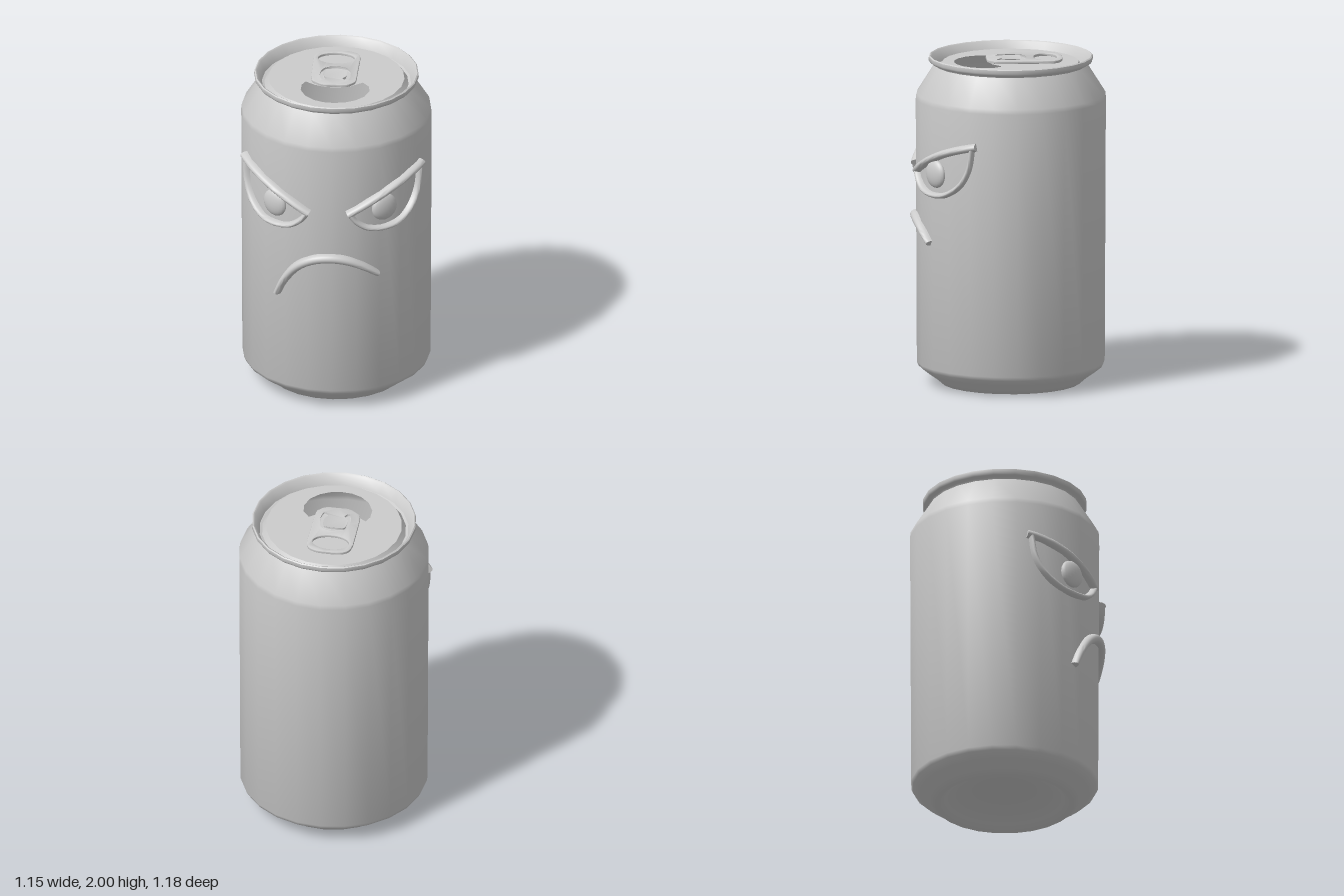
import * as THREE from 'three';
import { toCreasedNormals } from 'three/addons/utils/BufferGeometryUtils.js';

const R = 0.57, ZC = -0.017, SIDES = 24, TURN = 0.035, LID_Y = 1.96, LID_R = 0.41;
const material = new THREE.MeshStandardMaterial({ color: 0xcccccc, side: THREE.DoubleSide });

function add(parent, name, geometry) {
  const mesh = new THREE.Mesh(geometry, material);
  mesh.name = name;
  parent.add(mesh);
  return mesh;
}

const vec2 = (list) => list.map(([x, y]) => new THREE.Vector2(x, y));
// Plan outlines are given as (x, z); laid flat later by a quarter turn about x
const plan = (list) => list.map(([x, z]) => new THREE.Vector2(x, -z));
const smoothLoop = (list, n = 40) => new THREE.SplineCurve(plan([...list, list[0]])).getPoints(n);

// Raised half-round strip following (x, y) points around the can wall, with flat ends
function strip(points, width, height, steps = 24, taper = 0) {
  const curve = new THREE.SplineCurve(vec2(points));
  const path = (t) => {
    const p = curve.getPoint(t);
    return new THREE.Vector3(p.x, p.y, Math.sqrt(R * R - p.x * p.x));
  };
  const seg = 10, pos = [], index = [];
  for (let i = 0; i <= steps; i++) {
    const t = i / steps, p = path(t);
    const tangent = path(Math.min(1, t + 0.01)).sub(path(Math.max(0, t - 0.01))).normalize();
    const out = new THREE.Vector3(p.x, 0, p.z).normalize();
    const across = new THREE.Vector3().crossVectors(out, tangent).normalize();
    const w = width * (1 - taper * Math.abs(2 * t - 1) ** 2) / 2;
    for (let j = 0; j <= seg; j++) {
      const a = Math.PI * j / seg;
      const v = p.clone().addScaledVector(across, Math.cos(a) * w)
        .addScaledVector(out, -0.02 + Math.sin(a) ** 0.7 * (height + 0.02));
      pos.push(v.x, v.y, v.z + ZC);
    }
  }
  const row = seg + 1;
  for (let i = 0; i < steps; i++) {
    for (let j = 0; j < seg; j++) {
      const a = i * row + j, b = a + row;
      index.push(a, b, a + 1, b, b + 1, a + 1);
    }
  }
  const last = steps * row;
  for (let j = 1; j < seg; j++) {
    index.push(0, j, j + 1, last, last + j + 1, last + j);
  }
  const geometry = new THREE.BufferGeometry();
  geometry.setAttribute('position', new THREE.Float32BufferAttribute(pos, 3));
  geometry.setIndex(index);
  return toCreasedNormals(geometry, 0.9);
}

function createCan(group) {
  // Domed base, body, shoulder, rolled rim and the groove inside it
  const profile = vec2([
    [0, 0.11], [0.14, 0.1], [0.27, 0.07], [0.36, 0.03], [0.4, 0], [0.42, 0], [0.46, 0.035],
    [0.51, 0.07], [0.555, 0.105], [0.567, 0.13], [0.574, 1.74], [0.57, 1.77], [0.46, 1.945],
    [0.466, 1.955], [0.488, 1.962], [0.496, 1.975], [0.495, 1.995], [0.488, 2], [0.478, 1.994],
    [0.45, 1.93], [0.435, 1.925], [0.42, 1.945], [LID_R, LID_Y],
  ]);
  const can = add(group, 'canBody', toCreasedNormals(new THREE.LatheGeometry(profile, SIDES), 0.75));
  can.position.z = ZC;
  can.rotation.y = TURN;
}

function createLid(group) {
  // Flat lid with the pouring hole
  const rim = [];
  for (let i = 0; i < SIDES; i++) {
    const a = TURN + i * 2 * Math.PI / SIDES;
    rim.push([LID_R * Math.sin(a), ZC + LID_R * Math.cos(a)]);
  }
  const lidShape = new THREE.Shape(plan(rim));
  lidShape.holes.push(new THREE.Path(plan([
    [-0.18, 0.055], [-0.2, 0.1], [-0.2, 0.17], [-0.165, 0.245], [-0.11, 0.295], [-0.05, 0.32],
    [0.015, 0.325], [0.08, 0.312], [0.14, 0.28], [0.19, 0.225], [0.215, 0.15], [0.205, 0.09],
    [0.165, 0.04], [0.09, 0.1], [0.01, 0.12], [-0.06, 0.118], [-0.12, 0.095],
  ])));
  const lid = add(group, 'lid', new THREE.ShapeGeometry(lidShape));
  lid.rotation.x = -Math.PI / 2;
  lid.position.y = LID_Y;
}

function createPullTab(group) {
  // Tab outline with finger hole and a C-shaped slot around the tongue
  const tab = new THREE.Shape(smoothLoop([
    [-0.155, -0.23], [-0.14, -0.29], [-0.09, -0.322], [-0.015, -0.327], [0.06, -0.322], [0.11, -0.29],
    [0.125, -0.23], [0.125, -0.08], [0.125, 0.06], [0.11, 0.095], [0.07, 0.127], [0, 0.13],
    [-0.065, 0.13], [-0.115, 0.1], [-0.145, 0.06], [-0.152, -0.08],
  ], 64));
  const finger = new THREE.Path();
  finger.absellipse(-0.018, 0.225, 0.11, 0.07, 0, Math.PI * 2);
  const slot = new THREE.Path(smoothLoop([
    [-0.085, 0.075], [-0.105, 0], [-0.085, -0.085], [-0.01, -0.117], [0.07, -0.088], [0.092, 0],
    [0.082, 0.07], [0.06, 0.07], [0.037, 0.045], [0.057, 0.01], [0.055, -0.055], [0.03, -0.07],
    [-0.05, -0.07], [-0.072, -0.055], [-0.072, 0.01], [-0.048, 0.045], [-0.065, 0.075],
  ], 68));
  tab.holes.push(finger, slot);
  const geometry = new THREE.ExtrudeGeometry(tab, {
    depth: 0.008, bevelEnabled: true, bevelThickness: 0.005, bevelSize: 0.005,
    bevelOffset: -0.005, bevelSegments: 2, curveSegments: 28,
  });
  const mesh = add(group, 'pullTab', toCreasedNormals(geometry, 0.6));
  mesh.rotation.x = -Math.PI / 2;
  mesh.position.y = LID_Y + 0.012;

  // Rivet joining the tongue to the lid
  const rivet = add(group, 'rivet', new THREE.CylinderGeometry(0.035, 0.045, 0.02, 16));
  rivet.position.set(-0.008, LID_Y + 0.009, -0.015);
}

function createEye(side) {
  const eye = new THREE.Group();
  eye.name = side > 0 ? 'leftEye' : 'rightEye';
  const flip = (list) => list.map(([x, y]) => [x * side, y]);
  // Slanted brow and the lower lid that hangs from it
  add(eye, 'brow', strip(flip([[0.115, 1.322], [0.25, 1.397], [0.39, 1.47], [0.523, 1.533]]), 0.05, 0.04, 14));
  add(eye, 'lowerLid', strip(flip([
    [0.13, 1.32], [0.165, 1.27], [0.23, 1.223], [0.32, 1.206], [0.4, 1.22],
    [0.465, 1.28], [0.5, 1.38], [0.512, 1.52],
  ]), 0.036, 0.036, 28));
  // Bulging pupil tucked under the brow
  const pupil = add(eye, 'pupil', new THREE.SphereGeometry(1, 20, 14));
  const angle = side * Math.asin(0.33 / R);
  pupil.scale.set(0.085, 0.085, 0.035);
  pupil.rotation.y = angle;
  pupil.position.set(R * Math.sin(angle), 1.337, ZC + R * Math.cos(angle));
  return eye;
}

export function createModel() {
  const group = new THREE.Group();
  group.name = 'angryCan';
  createCan(group);
  createLid(group);
  createPullTab(group);
  group.add(createEye(1), createEye(-1));
  // Lopsided frown
  add(group, 'mouth', strip([
    [-0.312, 0.742], [-0.265, 0.85], [-0.19, 0.95], [-0.09, 1.01], [0.02, 1.026],
    [0.12, 1.008], [0.21, 0.963], [0.288, 0.905],
  ], 0.062, 0.036, 32, 0.35));
  return group;
}
